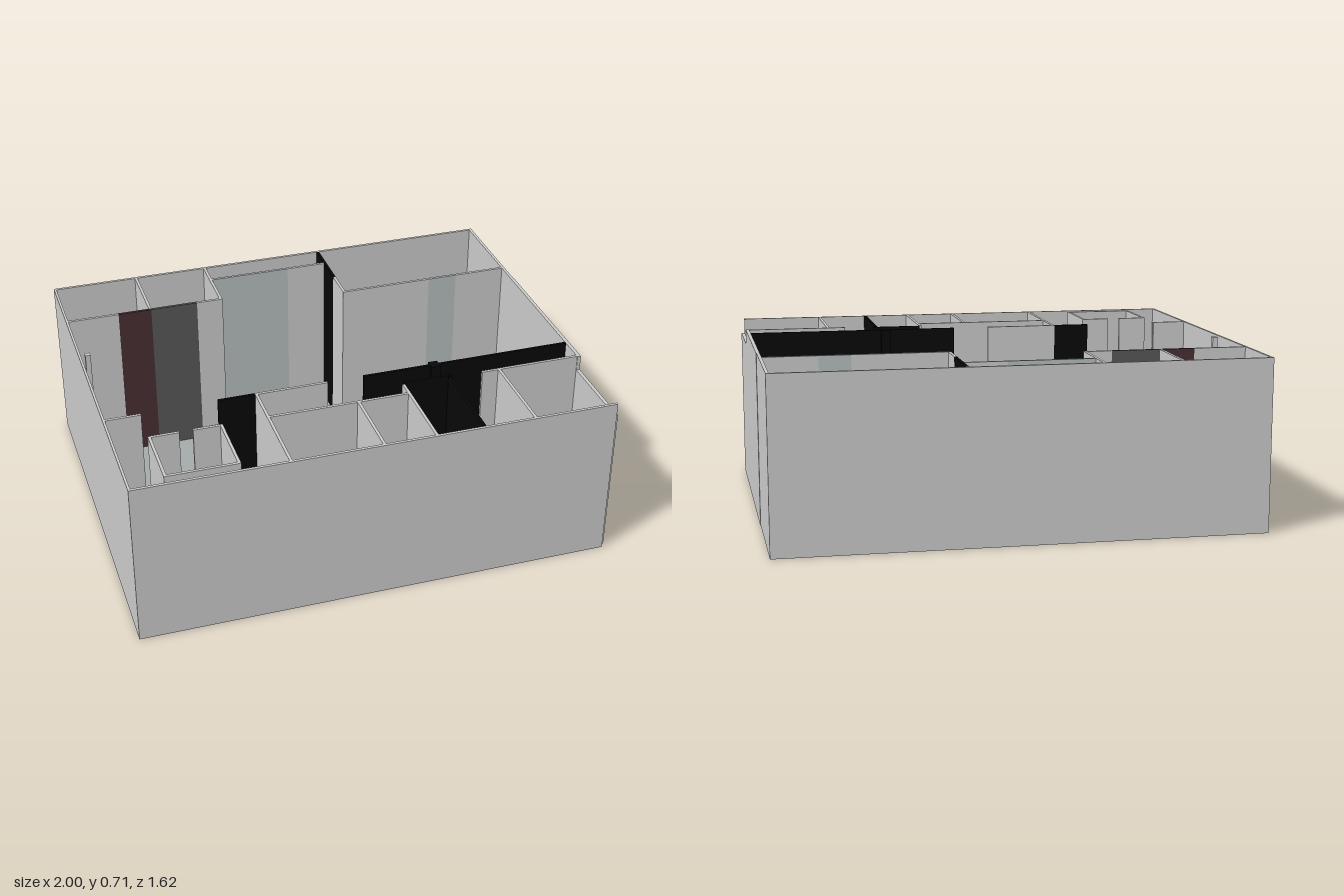
import * as THREE from 'three';

const H = 0.715; // wall height
const T = 0.012; // wall thickness
const GREY = 0xcccccc, BLACK = 0x080808, BROWN = 0x482f33, DARK = 0x585858, PALE = 0xb6c0be;

const materials = {};
const mat = (color) => (materials[color] ??= new THREE.MeshStandardMaterial({ color }));

export function createModel() {
  const group = new THREE.Group();

  // Box given by its extents on each axis
  function block(name, x0, x1, y0, y1, z0, z1, color = GREY) {
    const mesh = new THREE.Mesh(new THREE.BoxGeometry(x1 - x0, y1 - y0, z1 - z0), mat(color));
    mesh.position.set((x0 + x1) / 2, (y0 + y1) / 2, (z0 + z1) / 2);
    mesh.name = name;
    group.add(mesh);
  }
  // Full-height walls running along x or along z
  const wallX = (name, z, x0, x1, color) => block(name, x0, x1, 0, H, z - T / 2, z + T / 2, color);
  const wallZ = (name, x, z0, z1, color) => block(name, x - T / 2, x + T / 2, 0, H, z0, z1, color);

  // Floor slab and the low block standing on it
  block('floor', -0.96, 0.99, 0, 0.006, -0.78, 0.79, 0xa4acaa);
  block('kitchenIsland', -0.45, -0.245, 0.006, 0.24, -0.23, 0.055);

  // Outer shell, with the right side lowered towards the front
  block('frontWall', -0.99, 0.985, 0, H, 0.796, 0.808);
  block('backWall', -0.99, 0.985, 0, H, -0.808, -0.796);
  block('leftWall', -1, -0.99, 0, H, -0.808, 0.808);
  block('rightWallRear', 0.985, 0.998, 0, H, -0.808, -0.286);
  block('rightWallMiddle', 0.985, 1, 0, H, -0.286, 0.425);
  block('rightWallLow', 0.985, 1, 0, 0.65, 0.425, 0.79);

  // Rear rooms
  wallX('rearLeftPartition', -0.5, -0.99, -0.77);
  wallX('brownDoor', -0.5, -0.77, -0.625, BROWN);
  wallX('darkDoor', -0.5, -0.625, -0.42, DARK);
  wallX('rearLeftPartitionEnd', -0.5, -0.42, -0.304);
  wallZ('rearRoomDivider', -0.628, -0.796, -0.506);
  wallZ('rearRoomSide', -0.31, -0.796, -0.506);
  wallX('alcovePanel', -0.685, -0.304, 0.05, PALE);
  wallX('alcoveWall', -0.685, 0.05, 0.224);
  wallZ('blackRearPartition', 0.23, -0.796, -0.54, BLACK);
  wallZ('rearRightSide', 0.23, -0.54, -0.406);
  wallX('rearRightPartition', -0.4, 0.224, 0.63);
  wallX('rearRightDoor', -0.4, 0.63, 0.76, PALE);
  wallX('rearRightPartitionEnd', -0.4, 0.76, 0.985);

  // Slim post by the left wall
  block('post', -0.972, -0.95, 0, H, -0.215, -0.193);

  // Front middle rooms
  wallX('leftStubWall', 0.313, -0.99, -0.845);
  wallX('blackHallPanel', 0.303, -0.53, -0.376, BLACK);
  wallX('hallWall', 0.303, -0.376, -0.07);
  wallZ('hallSide', -0.37, 0.309, 0.796);
  wallX('frontRoomsWall', 0.48, -0.364, 0.214);
  wallZ('frontRoomDivider', 0.005, 0.486, 0.796);
  wallZ('frontRoomSide', 0.22, 0.412, 0.796);

  // Black partitions with a square column
  wallX('blackLongPartition', 0.303, 0.085, 0.985, BLACK);
  block('blackColumn', 0.374, 0.414, 0, H, 0.28, 0.325, BLACK);
  wallX('blackShortPartition', 0.398, 0.225, 0.435, BLACK);
  wallZ('blackFrontPartition', 0.42, 0.412, 0.79, BLACK);

  // Front right room
  wallX('frontRightPartition', 0.416, 0.56, 0.985);
  wallZ('frontRightDivider', 0.635, 0.422, 0.796);

  // Small free-standing cubicle with a doorway
  for (const x of [-0.848, -0.56]) wallZ('cubicleSide', x, 0.476, 0.758);
  wallX('cubicleFront', 0.752, -0.842, -0.566);
  wallX('cubicleBackLeft', 0.48, -0.842, -0.73);
  wallX('cubicleBackRight', 0.48, -0.675, -0.566);

  return group;
}
